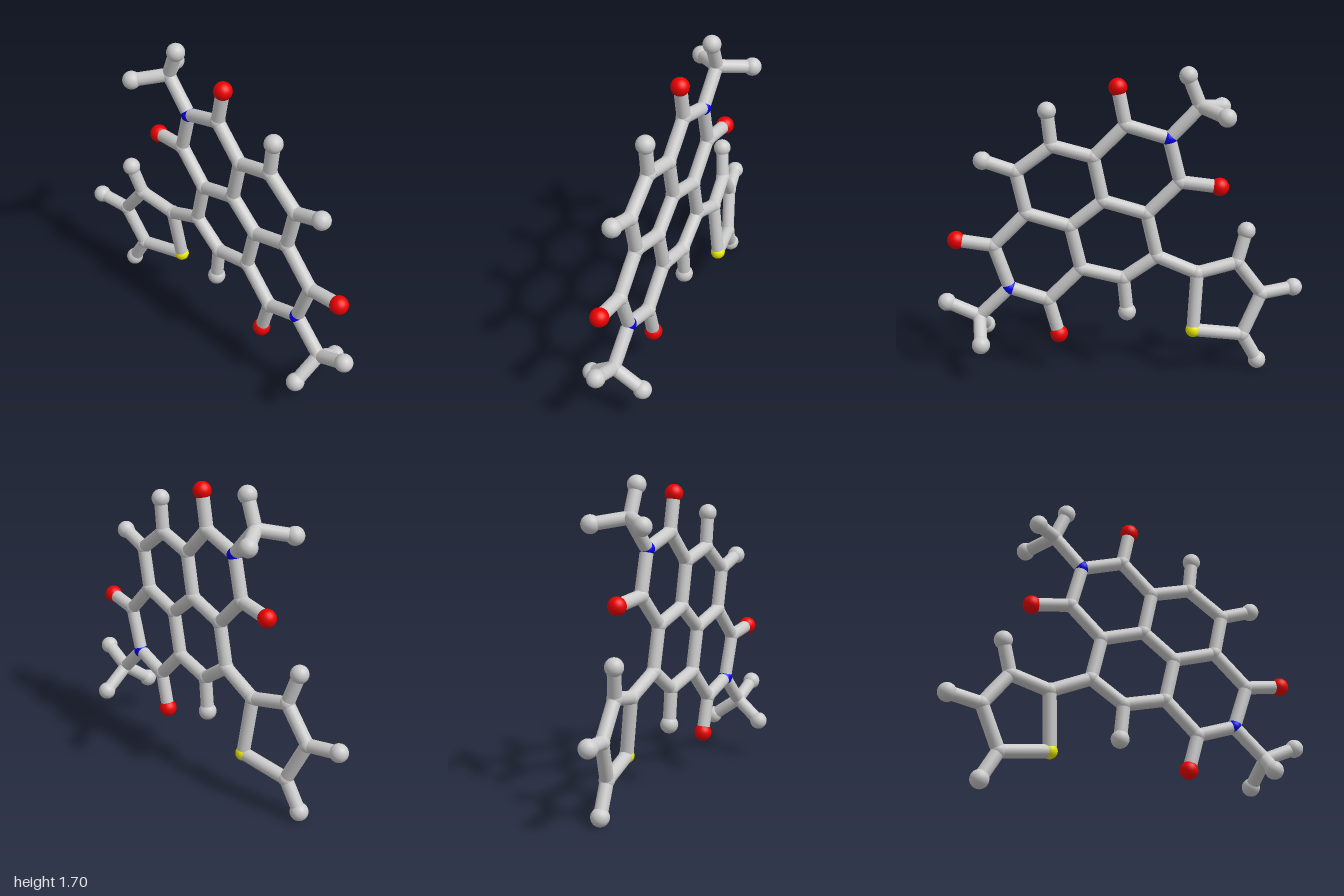
import * as THREE from 'three';

const BOND_R = 0.036, JOINT_R = 0.041, TIP_R = 0.049;
const COLORS = { C: 0xcccccc, H: 0xcccccc, N: 0x0000ee, O: 0xee0000, S: 0xeeee00 };
const NAMES = { C: 'carbonJoint', H: 'hydrogenTip', N: 'nitrogenJoint', O: 'oxygenTip', S: 'sulfurJoint' };

// The fused core is nearly flat, turned very slightly about y
const flat = (x) => 0.014 * x;

// Atoms: the first letter of the key is the element; [x, y, z], z defaults to the core plane
const ATOMS = {
  // fused four-ring core
  N1: [-0.25, 1.32], C1: [-0.02, 1.39], C2: [0.15, 1.22], C3: [0.37, 1.28],
  C4: [0.56, 1.14], C5: [0.51, 0.91], C6: [0.69, 0.73], N2: [0.61, 0.49],
  C7: [0.4, 0.42], C8: [0.22, 0.6], C9: [0.275, 0.84], C10: [0.1, 0.98],
  C11: [-0.135, 0.91], C12: [-0.31, 1.085], C13: [-0.19, 0.67], C14: [-0.01, 0.545],
  // tips around the core
  O1: [0.02, 1.59], O2: [0.89, 0.76], O3: [0.345, 0.22], O4: [-0.52, 1.06, -0.015],
  H1: [0.39, 1.465], H2: [0.735, 1.2], H3: [-0.03, 0.35],
  // upper three-pronged end
  C15: [-0.41, 1.49], H4: [-0.345, 1.65], H5: [-0.535, 1.46, 0.143], H6: [-0.535, 1.46, -0.158],
  // lower three-pronged end
  C16: [0.78, 0.325], H7: [0.955, 0.405], H8: [0.76, 0.215, 0.157], H9: [0.76, 0.215, -0.143],
  // tilted five-sided ring
  C17: [-0.41, 0.575, -0.005], C18: [-0.63, 0.62, 0.037], C19: [-0.77, 0.435, 0.052],
  C20: [-0.665, 0.21, 0.01], S1: [-0.39, 0.26, -0.047],
  H10: [-0.68, 0.79, 0.068], H11: [-0.952, 0.455, 0.095], H12: [-0.755, 0.05, 0.027],
};

// Chains of bonded atoms
const CHAINS = [
  'N1 C1 C2 C3 C4 C5 C6 N2 C7 C8 C14 C13 C11 C12 N1',
  'C2 C10 C11', 'C10 C9 C5', 'C9 C8',
  'C1 O1', 'C6 O2', 'C7 O3', 'C12 O4', 'C3 H1', 'C4 H2', 'C14 H3',
  'N1 C15 H4', 'H5 C15 H6', 'N2 C16 H7', 'H8 C16 H9',
  'C13 C17 C18 C19 C20 S1 C17', 'C18 H10', 'C19 H11', 'C20 H12',
];

export function createModel() {
  const model = new THREE.Group();
  model.name = 'ballAndStickMolecule';

  const materials = {};
  for (const e in COLORS) materials[e] = new THREE.MeshStandardMaterial({ color: COLORS[e] });
  const joint = new THREE.SphereGeometry(JOINT_R, 24, 16);
  const tip = new THREE.SphereGeometry(TIP_R, 24, 16);
  const rod = new THREE.CylinderGeometry(BOND_R, BOND_R, 1, 20, 1, true);

  // Atoms: larger balls on free ends, small ones inside the frame
  const points = {};
  for (const [key, [x, y, z = flat(x)]] of Object.entries(ATOMS)) {
    const e = key[0];
    points[key] = new THREE.Vector3(x, y, z);
    const ball = new THREE.Mesh(e === 'H' || e === 'O' ? tip : joint, materials[e]);
    ball.name = NAMES[e];
    ball.position.copy(points[key]);
    model.add(ball);
  }

  // Bonds: rods from just outside each atom's centre, leaving the ball visible between them
  const inset = 0.02, up = new THREE.Vector3(0, 1, 0);
  for (const chain of CHAINS) {
    const keys = chain.split(' ');
    for (let i = 1; i < keys.length; i++) {
      const a = points[keys[i - 1]], b = points[keys[i]];
      const dir = b.clone().sub(a);
      const bond = new THREE.Mesh(rod, materials.C);
      bond.name = 'bond';
      bond.scale.y = dir.length() - 2 * inset;
      bond.position.copy(a).add(b).multiplyScalar(0.5);
      bond.quaternion.setFromUnitVectors(up, dir.normalize());
      model.add(bond);
    }
  }
  return model;
}
